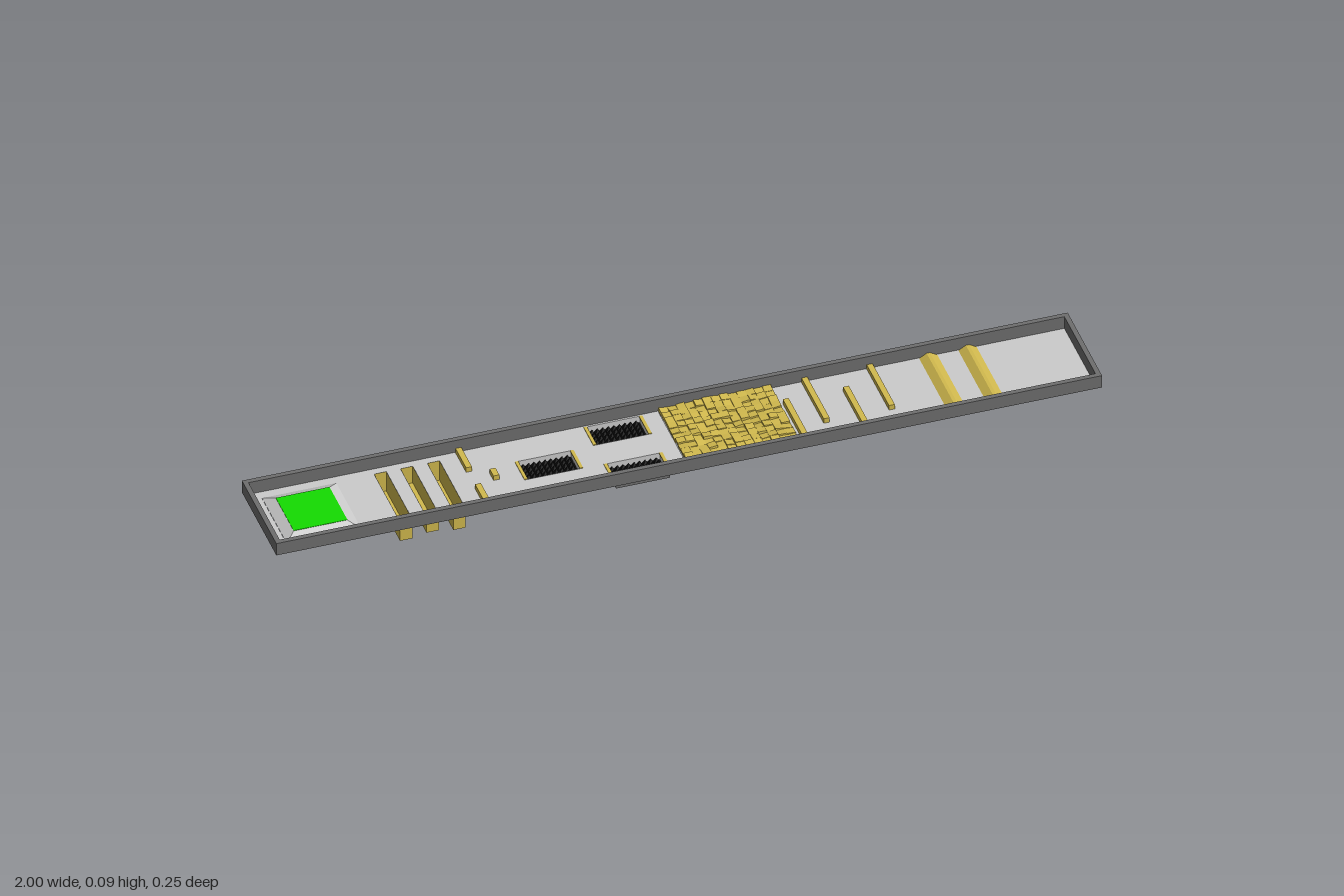
import * as THREE from 'three';
import { mergeGeometries } from 'three/addons/utils/BufferGeometryUtils.js';

export function createModel() {
  const model = new THREE.Group();
  model.name = 'obstacleCourse';
  const mat = (name, color, side = THREE.FrontSide) =>
    Object.assign(new THREE.MeshStandardMaterial({ color, side, flatShading: true }), { name });
  const rimGrey = mat('rimGrey', 0x6e6e6e);
  const floorGrey = mat('floorGrey', 0xcccccc, THREE.DoubleSide);
  const gold = mat('gold', 0xd2ba4e);
  const green = mat('green', 0x14dc00);
  const black = mat('black', 0x0c0c0c);

  const FLOOR = 0.056;
  const add = (name, geo, material, x = 0, y = 0, z = 0) => {
    const m = new THREE.Mesh(geo, material);
    m.name = name;
    m.position.set(x, y, z);
    model.add(m);
    return m;
  };
  // Box with one side left out (2 = top, 3 = bottom)
  const openBox = (w, h, d, side) => {
    const g = new THREE.BoxGeometry(w, h, d);
    const idx = Array.from(g.index.array);
    idx.splice(side * 6, 6);
    g.setIndex(idx);
    g.clearGroups();
    return g;
  };
  const rectPath = (x0, x1, z0, z1, Type = THREE.Path) => {
    const p = new Type();
    p.moveTo(x0, -z0).lineTo(x0, -z1).lineTo(x1, -z1).lineTo(x1, -z0).closePath();
    return p;
  };

  // Layout: x centre or x range, then z range
  const trenches = [[-0.675, 0], [-0.611, 0.008], [-0.546, 0]];
  const walls = [
    [-0.48, -0.112, -0.035], [-0.48, 0.03, 0.112], [-0.43, -0.014, 0.014],
    [0.292, -0.05, 0.112], [0.358, -0.112, 0.05], [0.438, -0.05, 0.112], [0.516, -0.112, 0.05],
  ];
  const pits = [[-0.298, 0], [-0.107, 0.073], [-0.107, -0.073]];
  const ridges = [0.658, 0.753];
  const padX = -0.873;

  // Rim frame
  const frame = rectPath(-1, 1, -0.125, 0.125, THREE.Shape);
  frame.holes.push(rectPath(-0.988, 0.988, -0.113, 0.113));
  const rimGeo = new THREE.ExtrudeGeometry(frame, { depth: 0.034, bevelEnabled: false });
  rimGeo.rotateX(-Math.PI / 2);
  add('rim', rimGeo, rimGrey, 0, FLOOR, 0);

  // Floor sheet with openings
  const sheet = rectPath(-0.999, 0.999, -0.124, 0.124, THREE.Shape);
  const cut = (x, w, z0, z1) => sheet.holes.push(rectPath(x - w / 2, x + w / 2, z0, z1));
  trenches.forEach(([x]) => cut(x, 0.03, -0.094, 0.094));
  walls.forEach(([x, z0, z1]) => cut(x, 0.014, z0, z1));
  pits.forEach(([x, z]) => cut(x, 0.13, z - 0.035, z + 0.035));
  ridges.forEach((x) => cut(x, 0.044, -0.112, 0.112));
  cut(padX, 0.18, -0.09, 0.09);
  cut(0.14, 0.272, -0.112, 0.112);
  const floorGeo = new THREE.ShapeGeometry(sheet);
  floorGeo.rotateX(-Math.PI / 2);
  add('floor', floorGeo, floorGrey, 0, FLOOR - 0.001, 0);

  // Raised goal pad with sloped sides
  const slope = new THREE.CylinderGeometry(0.065 * Math.SQRT2, 0.09 * Math.SQRT2, 0.012, 4, 1, true);
  slope.rotateY(Math.PI / 4);
  add('padSlopes', slope, floorGrey, padX, FLOOR + 0.006, 0);
  add('greenPad', new THREE.BoxGeometry(0.13, 0.004, 0.13), green, padX, FLOOR + 0.011, 0);

  // Deep trenches: outer shell and inward-facing lining
  for (const [x, bottom] of trenches) {
    const h = FLOOR - bottom;
    const outer = openBox(0.03, h, 0.188, 2);
    const inner = openBox(0.028, h, 0.186, 2);
    inner.setIndex(Array.from(inner.index.array).reverse());
    inner.attributes.normal.array.forEach((v, i, a) => { a[i] = -v; });
    inner.translate(0, 0.001, 0);
    add('trench', mergeGeometries([outer, inner]), gold, x, bottom + h / 2, 0);
  }

  // Low hollow walls
  for (const [x, z0, z1] of walls) {
    add('lowWall', openBox(0.014, 0.013, z1 - z0, 3), gold, x, FLOOR + 0.0055, (z0 + z1) / 2);
  }

  // Spike pits
  const depth = 0.019;
  for (const [x, z] of pits) {
    add('pitWalls', openBox(0.13, depth, 0.07, 2), floorGrey, x, FLOOR - depth / 2, z);
    add('pitBottom', new THREE.BoxGeometry(0.129, 0.002, 0.071), black, x, FLOOR - depth, z);
    const spikes = [];
    for (let i = 0; i < 9; i++) {
      for (let j = 0; j < 5; j++) {
        const s = new THREE.ConeGeometry(0.0095, 0.014, 4, 1, true);
        s.rotateY(Math.PI / 4);
        s.translate((i - 4) * 0.0134, 0, (j - 2) * 0.0134);
        spikes.push(s);
      }
    }
    add('spikes', mergeGeometries(spikes), black, x, FLOOR - depth + 0.008, z);
    for (const s of [-1, 1]) {
      add('pitLip', new THREE.BoxGeometry(0.008, 0.003, 0.07), gold, x + s * 0.067, FLOOR - 0.0005, z);
    }
  }
  add('pitFrontPlate', new THREE.BoxGeometry(0.13, depth, 0.002), rimGrey, -0.107, FLOOR - depth / 2, 0.109);

  // Rubble field of uneven, tilted slabs
  let seed = 7;
  const rand = () => (seed = (seed * 16807) % 2147483647) / 2147483647;
  const slabs = [];
  const nx = 13, nz = 11, w = 0.272 / nx, d = 0.224 / nz;
  for (let i = 0; i < nx; i++) {
    for (let j = 0; j < nz; j++) {
      const g = new THREE.BoxGeometry(w, 0.008, d);
      g.rotateZ((rand() - 0.5) * 0.3);
      g.rotateX((rand() - 0.5) * 0.3);
      g.translate((i + 0.5) * w - 0.136, rand() * 0.007, (j + 0.5) * d - 0.112);
      slabs.push(g);
    }
  }
  add('rubble', mergeGeometries(slabs), gold, 0.14, FLOOR + 0.002, 0);

  // Speed-bump ridges
  const tent = new THREE.Shape();
  tent.moveTo(-0.022, 0).lineTo(0.022, 0).lineTo(0.004, 0.011).lineTo(-0.004, 0.011).closePath();
  for (const x of ridges) {
    const g = new THREE.ExtrudeGeometry(tent, { depth: 0.224, bevelEnabled: false });
    g.translate(0, 0, -0.112);
    add('ridge', g, gold, x, FLOOR - 0.001, 0);
  }
  return model;
}
